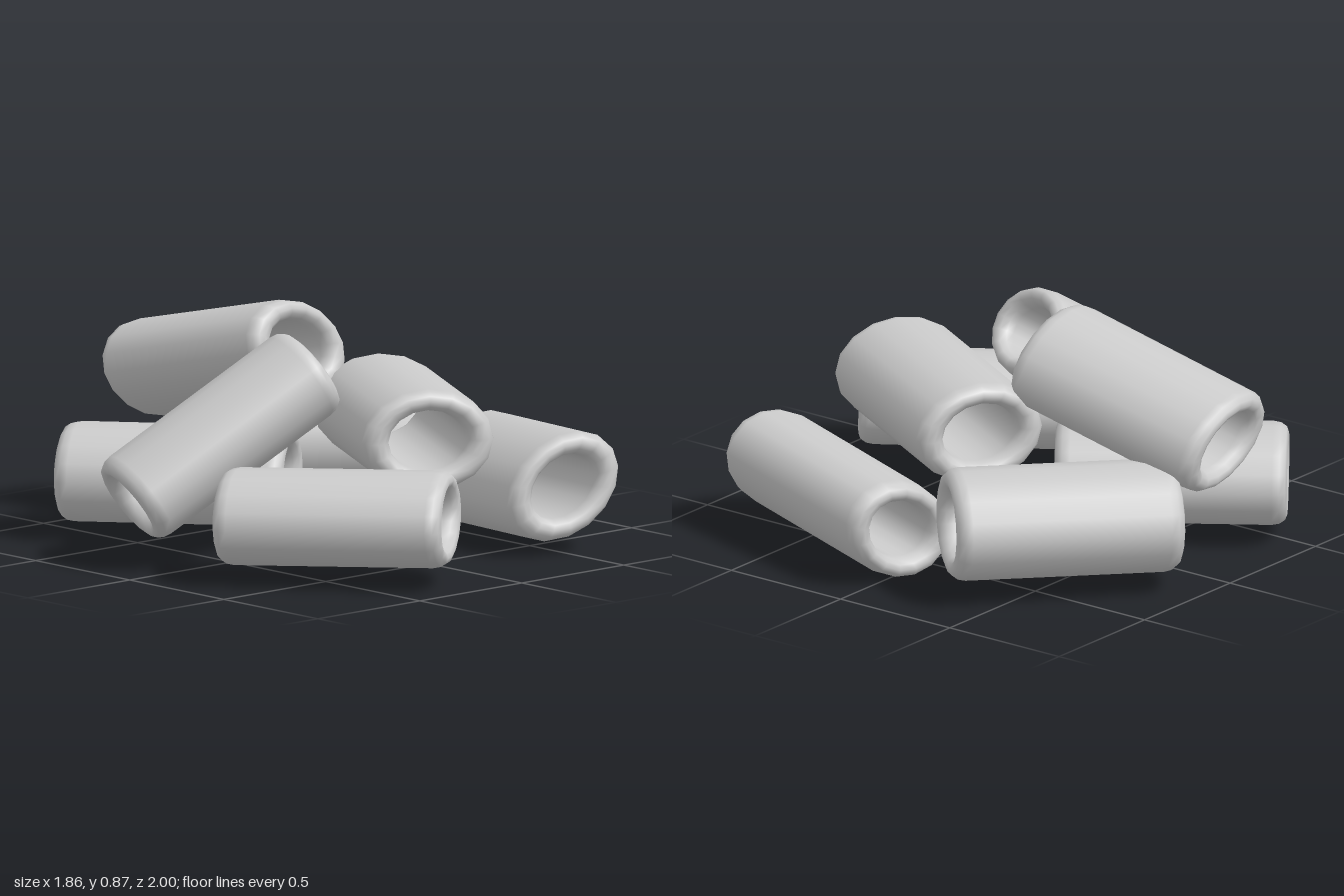
import * as THREE from 'three';

const LENGTH = 0.84, CAP = 0.055, INNER = 0.59, SIDES = 16;

// Closed wall profile: up the outside, over a rounded rim, down the bore, around the other rim.
// x is a fraction of the outer radius, y runs along the tube.
function tubeGeometry() {
  const mid = (1 + INNER) / 2, half = (1 - INNER) / 2, straight = LENGTH / 2 - CAP;
  const points = [new THREE.Vector2(1, 0)];
  for (const end of [0, 1]) {
    for (let i = 0; i <= 6; i++) {
      const a = Math.PI * (end + i / 6);
      points.push(new THREE.Vector2(
        mid + half * Math.cos(a),
        (end ? -straight : straight) + CAP * Math.sin(a)
      ));
    }
  }
  points.push(new THREE.Vector2(1, 0));
  return new THREE.LatheGeometry(points, SIDES).rotateX(Math.PI / 2);
}

// Each tube: centre, half width and half height of its oval section, then yaw, upward pitch and roll
const TUBES = [
  { name: 'topBackTube', at: [-0.02, 0.607, -0.563], oval: [0.237, 0.174], turn: [0.035, 0.23, -0.35] },
  { name: 'frontRightTube', at: [-0.48, 0.237, 0.537], oval: [0.24, 0.172], turn: [0.636, 0.02, 0.06] },
  { name: 'frontLeftTube', at: [0.597, 0.22, 0.33], oval: [0.238, 0.176], turn: [-0.294, 0.07, 0.56] },
  { name: 'raisedMiddleTube', at: [0.12, 0.465, 0.24], oval: [0.245, 0.188], turn: [-0.506, 0.01, 0] },
  { name: 'leaningTube', at: [-0.508, 0.458, -0.052], oval: [0.228, 0.17], turn: [1.18, 0.57, 0] },
  { name: 'backRightTube', at: [-0.309, 0.23, -0.491], oval: [0.245, 0.18], turn: [0.64, 0.01, 0] },
  { name: 'backLeftTube', at: [0.412, 0.26, -0.548], oval: [0.243, 0.2], turn: [0.853, 0.02, 0] },
];

export function createModel() {
  const group = new THREE.Group();
  group.name = 'tubePile';
  const geometry = tubeGeometry();
  const material = new THREE.MeshStandardMaterial({ color: 0xcccccc });

  for (const { name, at, oval, turn } of TUBES) {
    const tube = new THREE.Mesh(geometry, material);
    tube.name = name;
    tube.position.set(...at);
    tube.scale.set(oval[0], oval[1], 1);
    tube.rotation.set(-turn[1], turn[0], turn[2], 'YXZ');
    group.add(tube);
  }
  return group;
}
